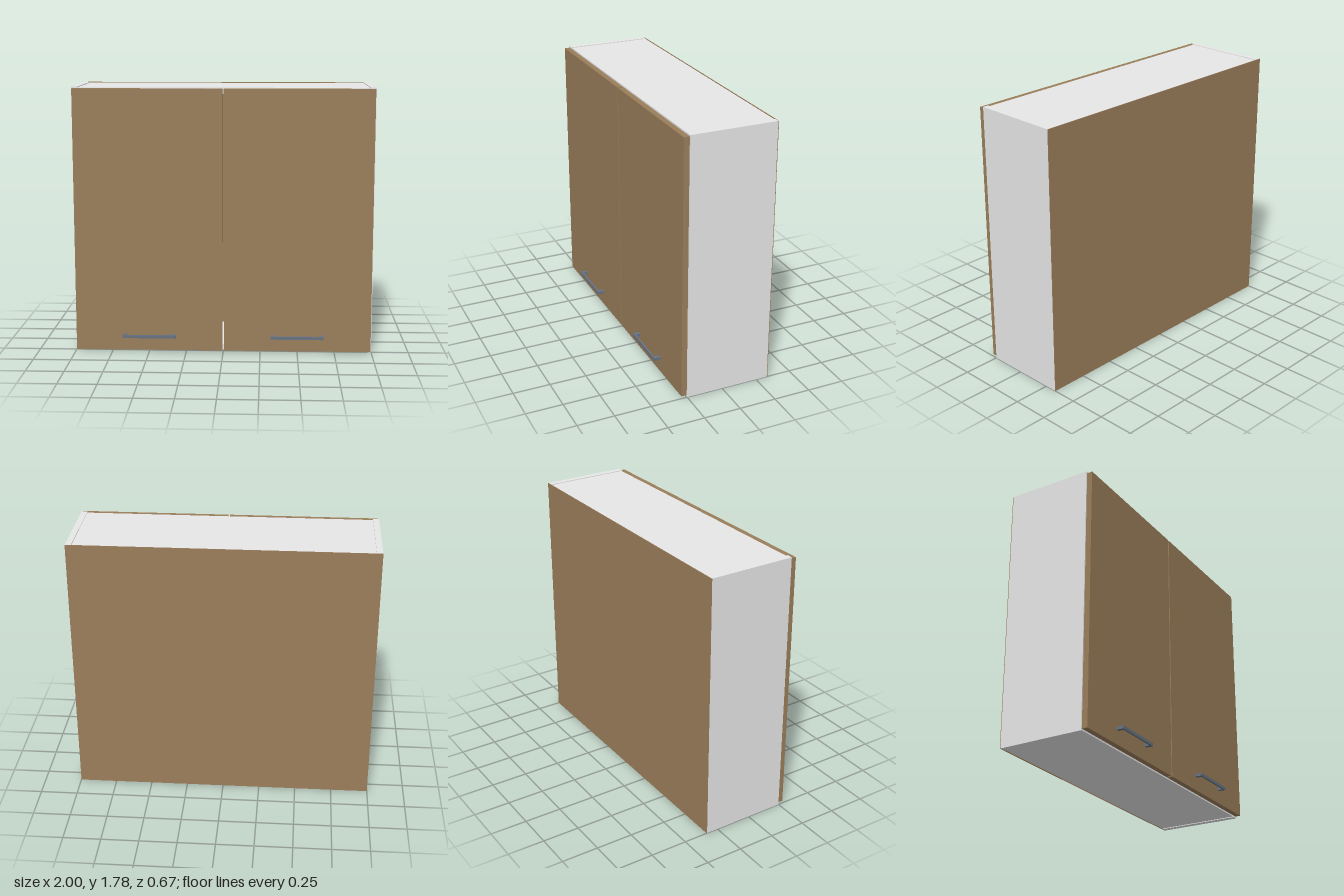
import * as THREE from 'three';

export function createModel() {
  const model = new THREE.Group();
  model.name = 'wallCabinet';

  const mat = (name, color) => {
    const m = new THREE.MeshStandardMaterial({ color });
    m.name = name;
    return m;
  };
  const panelGrey = mat('panelGrey', 0xeeeeee);
  const woodBrown = mat('woodBrown', 0x9b7e5b);
  const handleSteel = mat('handleSteel', 0x677382);

  // Box given by its extents on each axis
  const slab = (name, material, [x0, x1], [y0, y1], [z0, z1], parent = model) => {
    const mesh = new THREE.Mesh(new THREE.BoxGeometry(x1 - x0, y1 - y0, z1 - z0), material);
    mesh.position.set((x0 + x1) / 2, (y0 + y1) / 2, (z0 + z1) / 2);
    mesh.name = name;
    parent.add(mesh);
    return mesh;
  };

  const H = 1.785, back = -0.335, front = 0.25, t = 0.04;

  // Carcass: full-height sides, with top and bottom set in slightly
  slab('leftSide', panelGrey, [1 - t, 1], [0, H], [back + 0.004, front]);
  slab('rightSide', panelGrey, [-1, -1 + t], [0, H], [back + 0.004, front]);
  slab('topPanel', panelGrey, [-1 + t, 1 - t], [H - 0.005 - t, H - 0.005], [back + 0.004, front - 0.005]);
  slab('bottomPanel', panelGrey, [-1 + t, 1 - t], [0.005, 0.005 + t], [back + 0.004, front - 0.005]);
  slab('backPanel', woodBrown, [-1, 1], [0, H], [back, back + 0.004]);

  // Two doors, each with a bar handle on two posts
  for (const [side, s] of [['left', 1], ['right', -1]]) {
    const door = new THREE.Group();
    door.name = side + 'Door';
    model.add(door);
    const span = (a, b) => (s > 0 ? [a, b] : [-b, -a]);
    const doorFace = 0.288, handleY = [0.105, 0.125];
    slab(side + 'DoorPanel', woodBrown, span(0.005, 0.993), [0.012, 1.775], [front, doorFace], door);

    const handle = new THREE.Group();
    handle.name = side + 'Handle';
    door.add(handle);
    slab('handleBar', handleSteel, span(0.345, 0.65), handleY, [0.323, 0.335], handle);
    slab('innerPost', handleSteel, span(0.32, 0.345), handleY, [doorFace, 0.335], handle);
    slab('outerPost', handleSteel, span(0.65, 0.675), handleY, [doorFace, 0.335], handle);
  }

  return model;
}
